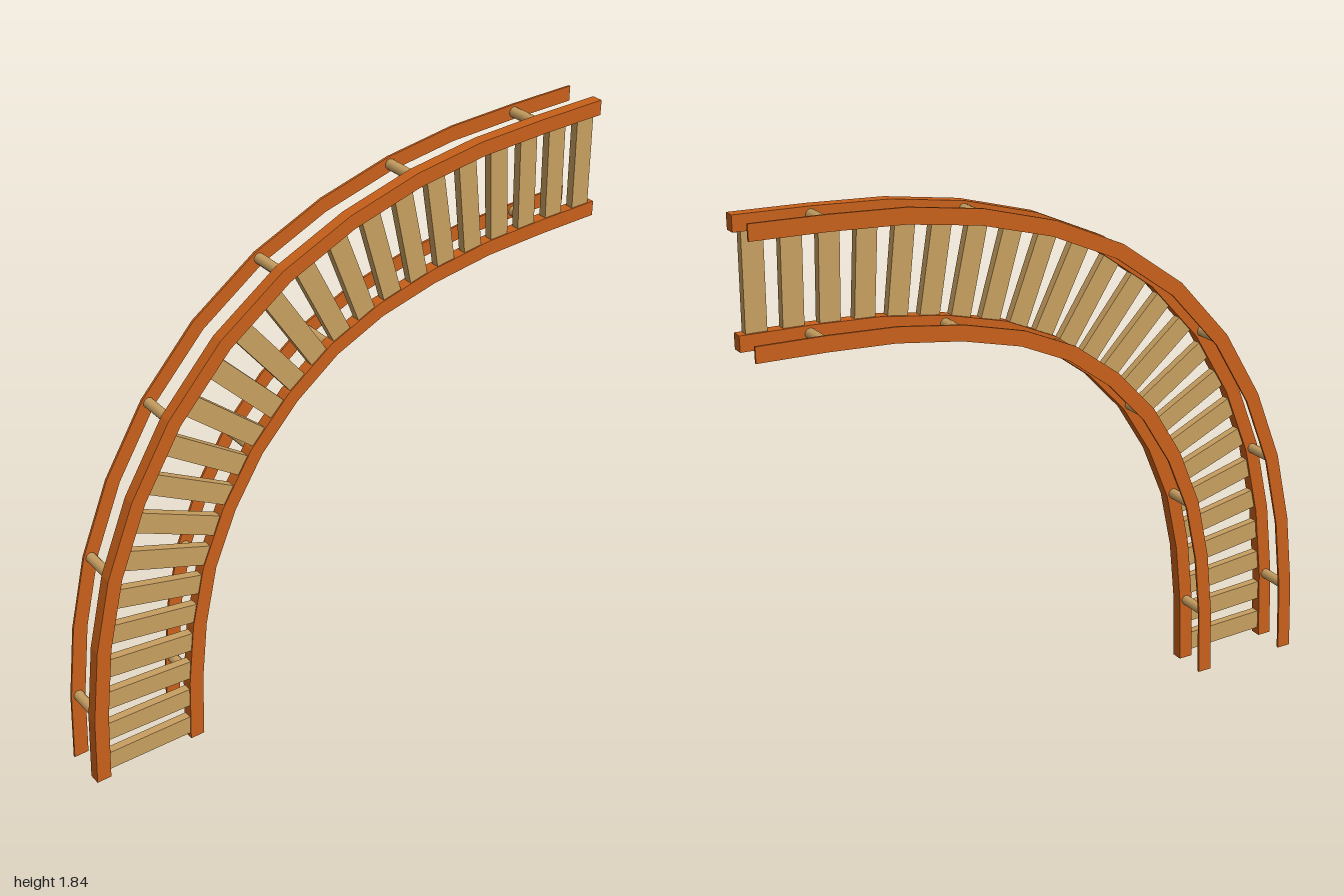
import * as THREE from 'three';

// Outer and inner borders of the curved track, station by station
const OUTER = [[-1, 0], [-0.99, 0.25], [-0.96, 0.513], [-0.902, 0.764], [-0.803, 1.01], [-0.662, 1.243], [-0.472, 1.45],
  [-0.245, 1.61], [0, 1.718], [0.254, 1.788], [0.505, 1.825], [0.757, 1.837], [1, 1.842]];
const INNER = [[-0.595, 0], [-0.588, 0.23], [-0.565, 0.446], [-0.52, 0.65], [-0.44, 0.838], [-0.335, 1.005], [-0.2, 1.147],
  [-0.047, 1.26], [0.128, 1.338], [0.335, 1.39], [0.555, 1.421], [0.78, 1.432], [1, 1.436]];

// Point at station i, a fraction f of the way from outer to inner border
const across = (i, f) => new THREE.Vector2(...OUTER[i]).lerp(new THREE.Vector2(...INNER[i]), f);

// Curved rail between two fractions of the track width
function railGeometry(f0, f1, z0, z1) {
  const near = OUTER.map((_, i) => across(i, f0));
  const far = OUTER.map((_, i) => across(i, f1)).reverse();
  const geo = new THREE.ExtrudeGeometry(new THREE.Shape([...near, ...far]), { depth: z1 - z0, bevelEnabled: false });
  return geo.translate(0, 0, z0);
}

export function createModel() {
  const group = new THREE.Group();
  const orange = new THREE.MeshStandardMaterial({ color: 0xc8601a });
  const tan = new THREE.MeshStandardMaterial({ color: 0xc89f60 });
  const add = (name, geo, mat) => {
    const mesh = new THREE.Mesh(geo, mat);
    mesh.name = name;
    group.add(mesh);
    return mesh;
  };

  // Thick front rails, thin back rails and the round spacers joining them
  const postGeo = new THREE.CylinderGeometry(0.0175, 0.0175, 0.117, 10).rotateX(Math.PI / 2);
  for (const [side, f0, f1] of [['outer', 0, 0.125], ['inner', 0.875, 1]]) {
    add(side + 'FrontRail', railGeometry(f0, f1, 0.038, 0.078), orange);
    add(side + 'BackRail', railGeometry(f0, f1, -0.078, -0.07), orange);
    for (let i = 1; i < 12; i += 2) {
      const p = across(i, (f0 + f1) / 2);
      add(side + 'Spacer', postGeo, tan).position.set(p.x, p.y, -0.014);
    }
  }

  // Slats across the front rails, evenly spaced along the centre line
  const centre = new THREE.CatmullRomCurve3(OUTER.map((_, i) => {
    const p = across(i, 0.5);
    return new THREE.Vector3(p.x, p.y, 0.06);
  }));
  const slatGeo = new THREE.BoxGeometry(0.068, 0.312, 0.028);
  const count = 24;
  for (let k = 0; k < count; k++) {
    const u = (k + 0.5) / count;
    const t = centre.getTangentAt(u);
    const slat = add('slat', slatGeo, tan);
    slat.position.copy(centre.getPointAt(u));
    slat.rotation.z = Math.atan2(t.y, t.x);
  }
  return group;
}
